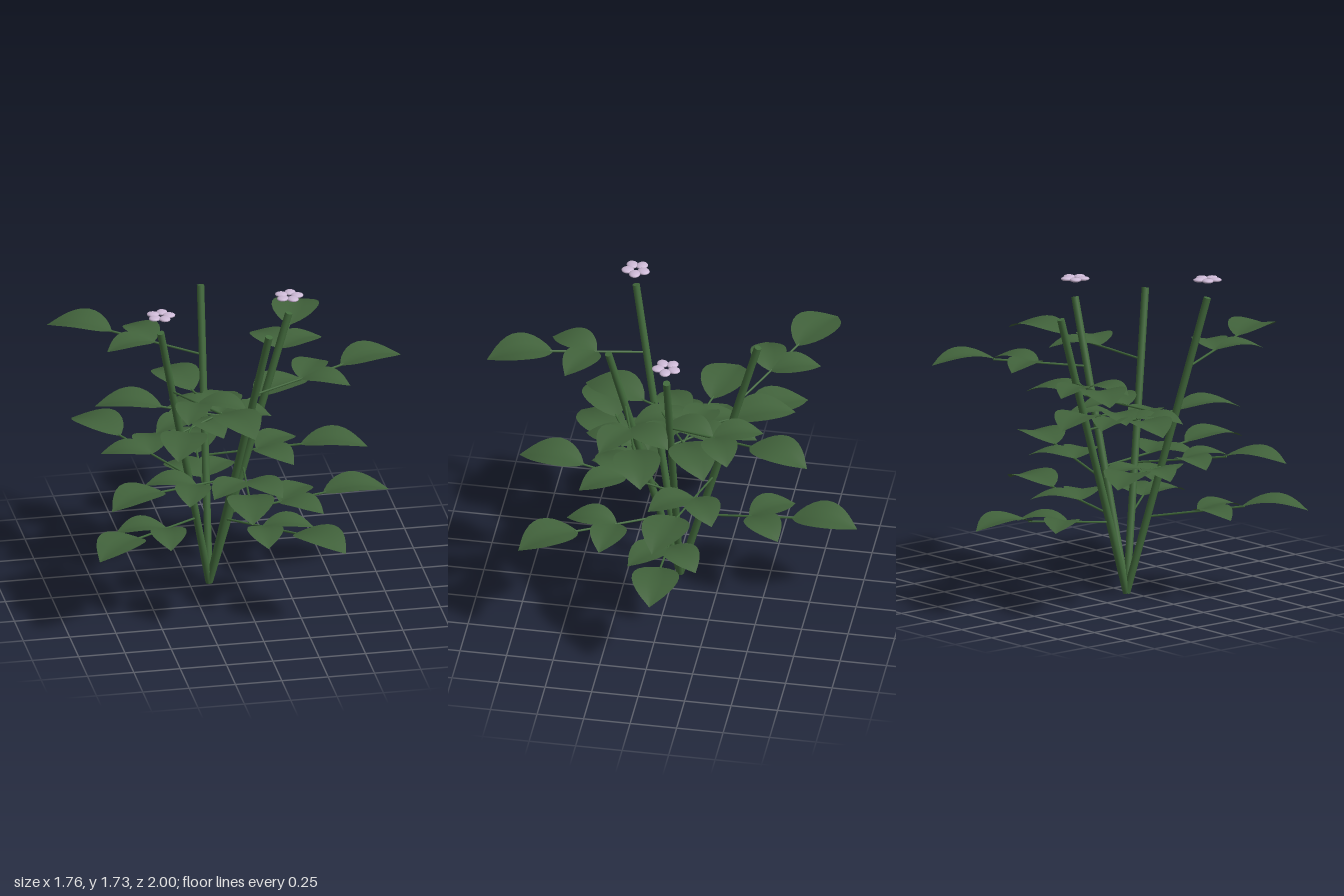
import * as THREE from 'three';

const deg = Math.PI / 180;
const GOLDEN = 137.5 * deg;   // turn between neighbouring stems
const LEAF_TURN = 97.5 * deg; // turn between leaves along one stem
const BASE = new THREE.Vector3(-0.145, 0.004, -0.03);

const stemGreen = new THREE.MeshStandardMaterial({ color: 0x426a3c });
stemGreen.name = 'stemGreen';
const leafGreen = new THREE.MeshStandardMaterial({ color: 0x41623b, side: THREE.DoubleSide });
leafGreen.name = 'leafGreen';
const petalLilac = new THREE.MeshStandardMaterial({ color: 0xcdb9d6 });
petalLilac.name = 'petalLilac';

function add(parent, geometry, material, name) {
  const mesh = new THREE.Mesh(geometry, material);
  mesh.name = name;
  parent.add(mesh);
  return mesh;
}

// Straight rod between two points
function rod(parent, from, to, radius, sides, name) {
  const dir = to.clone().sub(from);
  const mesh = add(parent, new THREE.CylinderGeometry(radius, radius, dir.length(), sides), stemGreen, name);
  mesh.position.copy(from).add(to).multiplyScalar(0.5);
  mesh.quaternion.setFromUnitVectors(new THREE.Vector3(0, 1, 0), dir.normalize());
  return mesh;
}

// Half width of a leaflet along its length
const outline = new THREE.CatmullRomCurve3(
  [[0, 0.008], [0.08, 0.055], [0.24, 0.105], [0.45, 0.126], [0.65, 0.11], [0.82, 0.068], [0.93, 0.027], [1, 0]]
    .map(([t, w]) => new THREE.Vector3(t, w, 0)));

// Leaflet of unit size along +x: arched lengthwise, folded up along the midrib
function leafletGeometry() {
  const geo = new THREE.PlaneGeometry(2, 1, 6, 14);
  const pos = geo.attributes.position;
  for (let i = 0; i < pos.count; i++) {
    const side = pos.getX(i);
    const p = outline.getPoint(THREE.MathUtils.clamp(pos.getY(i) + 0.5, 0, 1));
    const arch = 0.13 * Math.sin(Math.PI * Math.min(p.x, 1)) * 0.85 - 0.03 * p.x;
    const fold = 0.16 * p.y * Math.abs(side);
    pos.setXYZ(i, 0.355 * p.x, 0.355 * arch + fold, side * p.y);
  }
  geo.computeVertexNormals();
  return geo;
}
const leaflet = leafletGeometry();

// Compound leaf: rachis, one end leaflet and a pair of side leaflets
function compoundLeaf() {
  const leaf = new THREE.Group();
  leaf.name = 'compoundLeaf';
  rod(leaf, new THREE.Vector3(0, 0, 0), new THREE.Vector3(0.52, 0.072, 0), 0.006, 6, 'leafStalk');
  add(leaf, leaflet, leafGreen, 'endLeaflet').position.set(0.505, 0.07, 0);
  for (const s of [-1, 1]) {
    const side = add(leaf, leaflet, leafGreen, 'sideLeaflet');
    side.position.set(0.27, 0.04, 0);
    side.rotation.y = s * 42 * deg;
    side.scale.setScalar(0.77);
  }
  return leaf;
}

// Ring of five flat rounded petals
function flower() {
  const group = new THREE.Group();
  group.name = 'flower';
  const geo = new THREE.SphereGeometry(0.034, 12, 8);
  for (let i = 0; i < 5; i++) {
    const a = i * 72 * deg;
    const petal = add(group, geo, petalLilac, 'petal');
    petal.position.set(0.045 * Math.cos(a), 0, 0.045 * Math.sin(a));
    petal.rotation.y = -a;
    petal.scale.set(1, 0.34, 0.9);
  }
  return group;
}

export function createModel() {
  const plant = new THREE.Group();
  plant.name = 'plant';

  // Stem tips, in order around the plant
  const tips = [
    new THREE.Vector3(0.285, 1.537, -0.03),
    new THREE.Vector3(-0.463, 1.62, 0.262),
    new THREE.Vector3(-0.11, 1.543, -0.453),
    new THREE.Vector3(0.113, 1.567, 0.312),
  ];

  tips.forEach((tip, s) => {
    rod(plant, BASE, tip, 0.02, 10, 'stem');
    for (let level = 0; level < 4; level++) {
      const leaf = compoundLeaf();
      leaf.position.lerpVectors(BASE, tip, 0.258 + 0.169 * level);
      leaf.rotation.y = -(s * GOLDEN + level * LEAF_TURN);
      plant.add(leaf);
    }
    // The first two stems bear flowers
    if (s < 2) {
      const bloom = flower();
      bloom.position.copy(tip).y += 0.1;
      plant.add(bloom);
    }
  });
  return plant;
}
